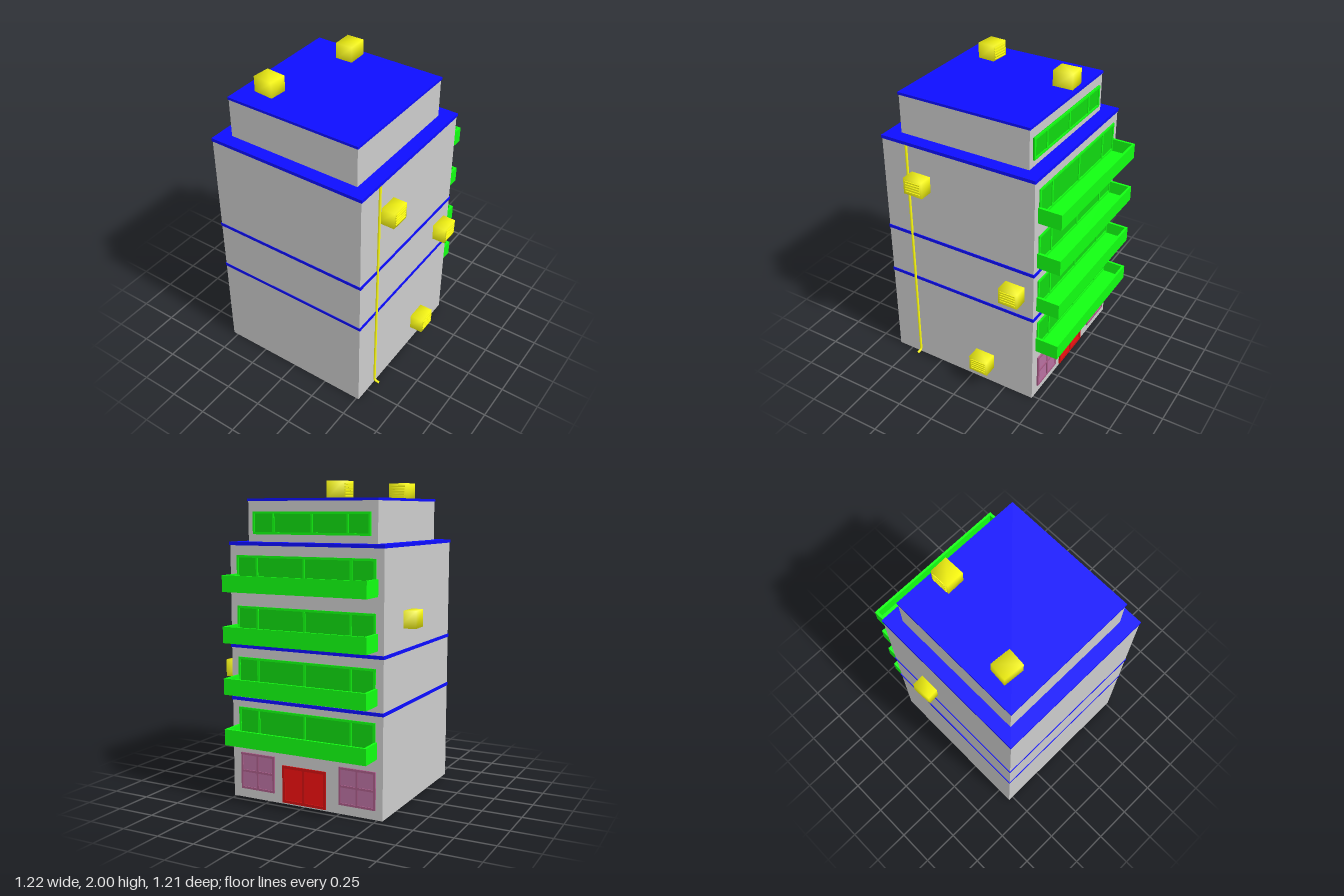
import * as THREE from 'three';
import { mergeVertices } from 'three/addons/utils/BufferGeometryUtils.js';

const mat = (color) => new THREE.MeshStandardMaterial({ color });
const GREY = mat(0xcccccc), BLUE = mat(0x0d0dff), GREEN = mat(0x12ff12), PANE = mat(0x10d810);
const RED = mat(0xf01010), DARK_RED = mat(0xd01010), MAUVE = mat(0xa85c88), PINK = mat(0xb870a0);
const YELLOW = mat(0xffff12);

// Box given by its minimum and maximum corners
function box(parent, name, material, [x0, y0, z0], [x1, y1, z1]) {
  const mesh = new THREE.Mesh(new THREE.BoxGeometry(x1 - x0, y1 - y0, z1 - z0), material);
  mesh.position.set((x0 + x1) / 2, (y0 + y1) / 2, (z0 + z1) / 2);
  mesh.name = name;
  parent.add(mesh);
  return mesh;
}

function group(parent, name) {
  const g = new THREE.Group();
  g.name = name;
  parent.add(g);
  return g;
}

// Framed panel on a back wall at depth z, split by vertical bars (and optional crossbar)
function framedPanel(parent, name, frameMat, paneMat, x0, x1, y0, y1, z, bars, t, crossbar) {
  const g = group(parent, name);
  const out = z - 0.01, back = z + 0.005;
  box(g, 'pane', paneMat, [x0, y0, z - 0.004], [x1, y1, back]);
  for (const x of [x0, x1 - t, ...bars.map((b) => b - t / 2)]) {
    box(g, 'upright', frameMat, [x, y0, out], [x + t, y1, back]);
  }
  const rails = [y0, y1 - t];
  if (crossbar) rails.push((y0 + y1 - t) / 2);
  for (const y of rails) box(g, 'rail', frameMat, [x0, y, out], [x1, y + t, back]);
}

// Softly shaded cooling unit whose grille faces +x before turning
function coolingUnit(parent, x, y, z, turn) {
  const g = group(parent, 'coolingUnit');
  const geo = new THREE.BoxGeometry(0.115, 0.108, 0.132);
  geo.deleteAttribute('normal');
  geo.deleteAttribute('uv');
  const soft = mergeVertices(geo);
  soft.computeVertexNormals();
  const casing = new THREE.Mesh(soft, YELLOW);
  casing.name = 'casing';
  g.add(casing);
  for (let i = 0; i < 5; i++) {
    const sy = -0.034 + i * 0.017;
    box(g, 'grilleSlat', YELLOW, [0.055, sy - 0.004, -0.053], [0.0625, sy + 0.004, 0.053]);
  }
  g.position.set(x, y, z);
  g.rotation.y = turn;
}

export function createModel() {
  const model = new THREE.Group();
  model.name = 'building';

  // Main block and set-back top storey
  box(model, 'mainBlock', GREY, [-0.535, 0, -0.452], [0.517, 1.62, 0.602]);
  box(model, 'topStorey', GREY, [-0.455, 1.62, -0.368], [0.435, 1.888, 0.518]);

  // Blue floor bands and roof slabs
  for (const y of [0.635, 0.973, 1.613]) {
    box(model, 'floorBand', BLUE, [-0.54, y, -0.458], [0.522, y + 0.021, 0.605]);
  }
  box(model, 'topRoof', BLUE, [-0.459, 1.884, -0.373], [0.44, 1.9, 0.523]);

  // Open balconies with the window strips behind them
  for (const y of [0.375, 0.697, 1.02, 1.335]) {
    const g = group(model, 'balcony');
    const top = y + 0.102;
    box(g, 'balconyFloor', GREEN, [-0.497, y, -0.605], [0.479, y + 0.02, -0.45]);
    box(g, 'balconyFront', GREEN, [-0.497, y, -0.605], [0.479, top, -0.59]);
    for (const x of [-0.497, 0.462]) {
      box(g, 'balconySide', GREEN, [x, y, -0.605], [x + 0.017, top, -0.45]);
    }
    framedPanel(model, 'windowStrip', GREEN, PANE, -0.485, 0.467, y + 0.025, y + 0.218, -0.45,
      [-0.325, -0.01, 0.32], 0.014);
  }
  framedPanel(model, 'topWindowStrip', GREEN, PANE, -0.412, 0.397, 1.68, 1.82, -0.37,
    [-0.262, -0.02, 0.25], 0.014);

  // Double door between two ground-floor windows
  framedPanel(model, 'doubleDoor', DARK_RED, RED, -0.155, 0.152, 0.01, 0.25, -0.45, [0], 0.018);
  for (const x of [-0.49, 0.21]) {
    framedPanel(model, 'groundWindow', MAUVE, PINK, x, x + 0.245, 0.06, 0.297, -0.453,
      [x + 0.1225], 0.014, true);
  }

  // Cooling units on the walls and roof
  coolingUnit(model, 0.548, 1.387, 0.33, 0);
  coolingUnit(model, 0.548, 0.822, -0.325, 0);
  coolingUnit(model, 0.548, 0.18, -0.1, 0);
  coolingUnit(model, -0.553, 1.176, -0.103, 0.06);
  coolingUnit(model, -0.3, 1.946, 0.332, Math.PI / 2 - 0.08);
  coolingUnit(model, -0.16, 1.946, -0.278, Math.PI + 0.02);

  // Drainpipe with an outward foot
  const path = new THREE.CurvePath();
  const v = (x, y) => new THREE.Vector3(x, y, 0.422);
  path.add(new THREE.LineCurve3(v(0.523, 1.615), v(0.523, 0.045)));
  path.add(new THREE.QuadraticBezierCurve3(v(0.523, 0.045), v(0.523, 0.02), v(0.54, 0.02)));
  path.add(new THREE.LineCurve3(v(0.54, 0.02), v(0.557, 0.02)));
  const pipe = new THREE.Mesh(new THREE.TubeGeometry(path, 160, 0.008, 10), YELLOW.clone());
  pipe.material.side = THREE.DoubleSide;
  pipe.name = 'drainpipe';
  model.add(pipe);

  return model;
}
